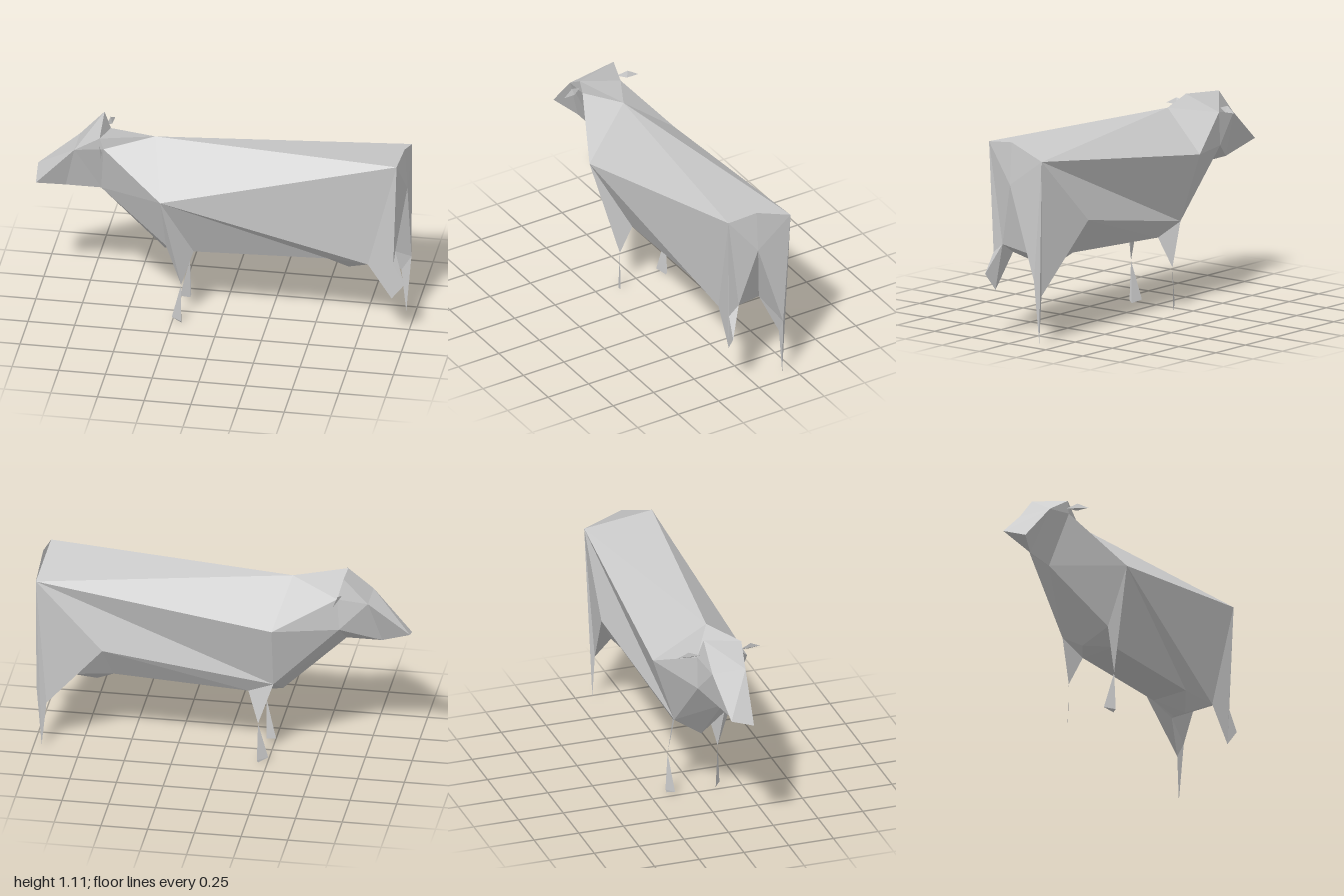
import * as THREE from 'three';

const material = new THREE.MeshStandardMaterial({ color: 0xcccccc, flatShading: true, side: THREE.DoubleSide });

// Joints shared by neighbouring parts; suffix L is the +z side, R the -z side
const head = {
  noseL: [-0.99, 0.74, 0.06], noseR: [-1, 0.79, -0.07], jaw: [-0.84, 0.71, 0], throat: [-0.65, 0.71, 0],
  browL: [-0.78, 0.97, 0.085], browR: [-0.78, 0.97, -0.1], poll: [-0.65, 1.11, -0.105],
  crown: [-0.64, 1.065, 0.11], napeL: [-0.62, 1, 0.105], napeR: [-0.62, 1, -0.13], cheekR: [-0.63, 0.82, -0.13],
};
const trunk = {
  withers: [-0.36, 1.05, 0.01], shoulderL: [-0.29, 0.79, 0.263], shoulderR: [-0.29, 0.845, -0.263],
  chest: [-0.31, 0.38, 0], elbowL: [-0.28, 0.47, 0.14], elbowR: [-0.28, 0.47, -0.14],
  armL: [-0.14, 0.42, 0.09], armR: [-0.14, 0.4, -0.1], kneeL: [-0.2, 0.235, 0.13], kneeR: [-0.2, 0.235, -0.15],
  bellyL: [0.58, 0.45, 0.1], bellyR: [0.58, 0.44, -0.1], udderL: [0.68, 0.375, 0.035], udderR: [0.68, 0.375, -0.04],
};
const rear = {
  rumpL: [0.96, 1.07, 0.165], rumpR: [0.98, 1.01, -0.207], tailTop: [0.975, 1.088, 0], tail: [0.99, 0.86, 0],
  flankL: [0.8, 0.45, 0.13], flankR: [0.8, 0.43, -0.12], thighR: [0.62, 0.64, -0.235],
  innerL: [0.94, 0.52, 0.09], outerL: [0.94, 0.47, 0.15], heelL: [1, 0.36, 0.16], toeL: [0.93, 0.265, 0.145],
  hockR: [0.93, 0.27, -0.165], heelR: [0.985, 0.36, -0.158], toeR: [0.955, 0.02, -0.17],
};
const joints = { ...head, ...trunk, ...rear };

// Faceted shell; every triangle is turned away from the animal's central axis
function shell(name, points, faces) {
  const positions = [];
  for (const face of faces) {
    const [a, b, c] = face.split(' ').map((key) => new THREE.Vector3(...points[key]));
    const middle = a.clone().add(b).add(c).divideScalar(3);
    const axis = new THREE.Vector3(THREE.MathUtils.clamp(middle.x, -0.85, 0.85), 0.75, 0);
    const normal = b.clone().sub(a).cross(c.clone().sub(a));
    const corners = normal.dot(middle.sub(axis)) < 0 ? [a, c, b] : [a, b, c];
    corners.forEach((v) => positions.push(v.x, v.y, v.z));
  }
  const geometry = new THREE.BufferGeometry();
  geometry.setAttribute('position', new THREE.Float32BufferAttribute(positions, 3));
  geometry.computeVertexNormals();
  const mesh = new THREE.Mesh(geometry, material);
  mesh.name = name;
  return mesh;
}

export function createModel() {
  const group = new THREE.Group();
  group.name = 'cow';
  const add = (name, faces, points = joints) => group.add(shell(name, points, faces));

  // Wedge-shaped head with a raised poll
  add('head', [
    'browL browR noseR', 'browL noseR noseL', 'browL noseL jaw', 'browR noseR jaw', 'noseL noseR jaw',
    'browL crown poll', 'browL poll browR', 'poll browR napeR', 'poll crown napeR',
    'crown browL napeL', 'browL napeL throat', 'browL jaw throat',
    'napeR cheekR browR', 'browR cheekR jaw', 'cheekR jaw throat',
  ]);

  // Neck widening to the shoulders and brisket
  add('neck', [
    'withers crown napeR', 'withers crown napeL', 'withers napeL shoulderL', 'withers napeR shoulderR',
    'napeL throat shoulderL', 'throat shoulderL elbowL', 'throat elbowL chest',
    'napeR shoulderR cheekR', 'cheekR elbowR shoulderR', 'cheekR throat elbowR', 'throat chest elbowR',
  ]);

  // Back and sides
  add('body', [
    'withers rumpL rumpR', 'withers shoulderL rumpL', 'withers shoulderR rumpR',
    'shoulderL rumpL flankL', 'shoulderL flankL bellyL', 'shoulderL bellyL armL',
    'rumpR shoulderR elbowR', 'rumpR elbowR thighR', 'thighR elbowR armR', 'thighR armR bellyR', 'thighR bellyR flankR',
  ]);

  // Belly
  add('belly', [
    'chest elbowL armL', 'chest elbowR armR', 'chest armL armR',
    'armL armR bellyL', 'armR bellyL bellyR',
  ]);
  add('udder', [
    'bellyL bellyR udderL', 'bellyR udderL udderR', 'udderL udderR flankL', 'udderR flankL flankR',
    'bellyL udderL flankL', 'bellyR udderR flankR',
  ]);

  // Hindquarters
  add('rump', [
    'rumpL rumpR tailTop', 'rumpL tailTop tail', 'rumpR tailTop tail', 'rumpL tail innerL',
    'tail innerL flankR', 'innerL flankL flankR', 'tail flankR heelR', 'rumpR tail heelR',
  ]);
  add('leftHindLeg', [
    'rumpL flankL toeL', 'rumpL toeL outerL', 'outerL heelL toeL', 'rumpL outerL innerL',
    'innerL outerL heelL', 'innerL heelL toeL', 'innerL toeL flankL',
  ]);
  add('rightHindLeg', [
    'thighR flankR hockR', 'rumpR thighR hockR', 'rumpR hockR toeR', 'rumpR heelR toeR',
    'hockR heelR toeR', 'heelR flankR hockR',
  ]);

  // Front legs: tapered upper leg, slim lower leg meeting it at the knee
  const feet = {
    L: { front: [-0.255, 0.02, 0.1], back: [-0.2, 0.02, 0.14], sole: [-0.2, 0.005, 0.125] },
    R: { front: [-0.25, 0.025, -0.125], back: [-0.195, 0.02, -0.16], sole: [-0.2, 0.005, -0.155] },
  };
  for (const [s, side] of [['L', 'left'], ['R', 'right']]) {
    const upper = [`elbow${s} arm${s} knee${s}`, `shoulder${s} elbow${s} arm${s}`];
    if (s === 'L') upper.push('shoulderL elbowL kneeL', 'shoulderL kneeL armL');
    add(`${side}UpperFrontLeg`, upper);
    add(`${side}LowerFrontLeg`, ['knee front back', 'knee front sole', 'knee back sole', 'front back sole'],
      { knee: joints[`knee${s}`], ...feet[s] });
  }

  // Small pointed ears
  for (const [name, s, z] of [['leftEar', 1, 0], ['rightEar', -1, -0.015]]) {
    add(name, ['root top tip', 'root low tip', 'root top low', 'top low tip'], {
      root: [-0.645, 1.02, s * 0.105 + z], top: [-0.63, 1.04, s * 0.165 + z],
      low: [-0.62, 1.005, s * 0.155 + z], tip: [-0.615, 1.008, s * 0.222 + z],
    });
  }
  return group;
}
